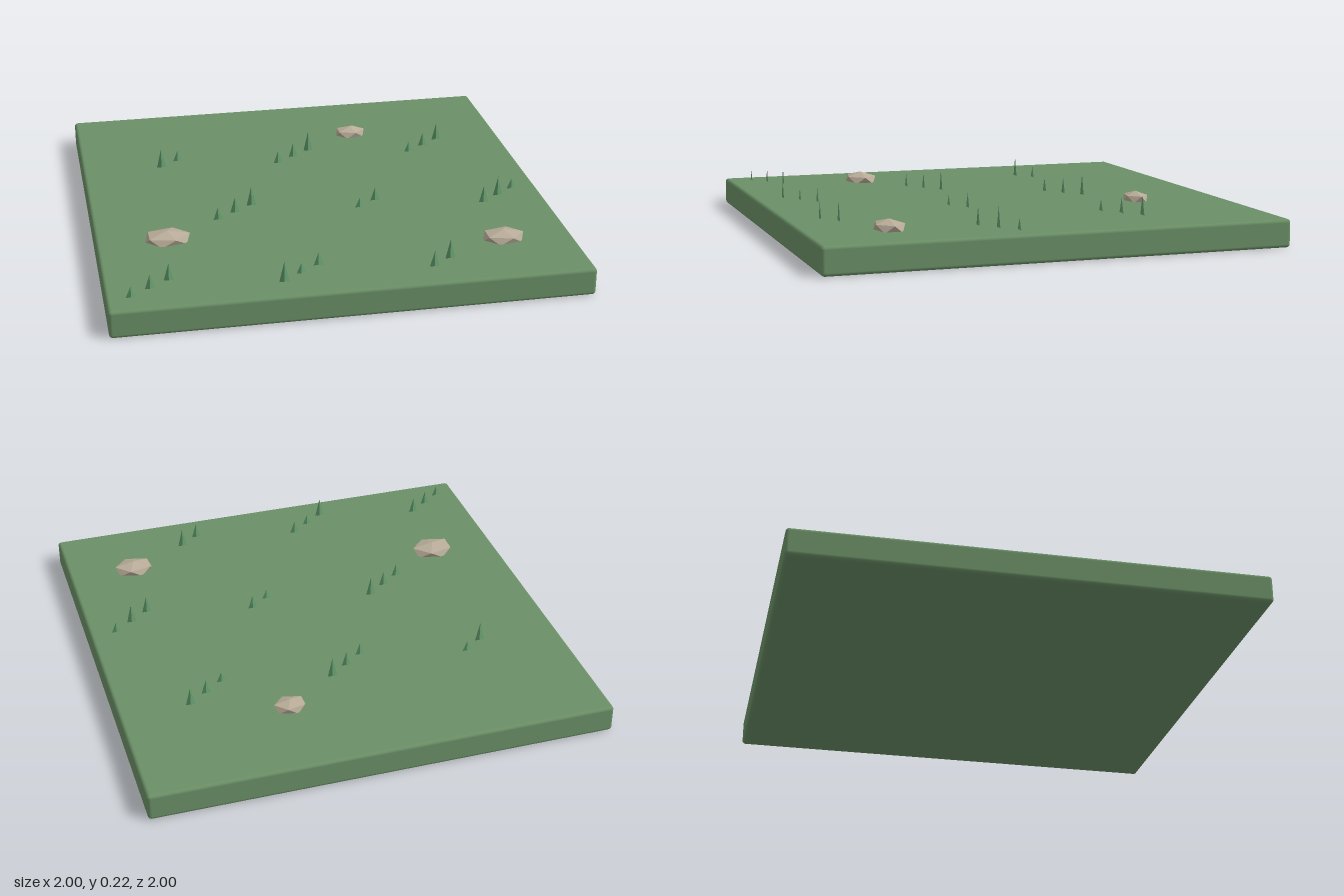
import * as THREE from 'three';
import { RoundedBoxGeometry } from 'three/addons/geometries/RoundedBoxGeometry.js';

const TOP = 0.12; // ground surface height

const groundMat = new THREE.MeshStandardMaterial({ color: 0x6a8f66 });
const grassMat = new THREE.MeshStandardMaterial({ color: 0x5f9468 });
const rockMat = new THREE.MeshStandardMaterial({ color: 0xb8ab98, flatShading: true });

// Paper-thin blade: a four-sided spike flattened in depth, keeping its faceted normals
function bladeGeometry(height) {
  const geo = new THREE.ConeGeometry(0.021, height, 4).toNonIndexed();
  geo.computeVertexNormals();
  geo.translate(0, height / 2, 0);
  const pos = geo.attributes.position;
  for (let i = 0; i < pos.count; i++) pos.setZ(i, pos.getZ(i) * 0.02);
  return geo;
}

// Squashed icosahedron standing on one of its points
function rockGeometry(rx, ry, rz) {
  const geo = new THREE.IcosahedronGeometry(1, 0);
  geo.rotateX(-Math.atan((1 + Math.sqrt(5)) / 2));
  geo.rotateY(Math.PI / 2);
  geo.scale(rx, ry, rz);
  return geo;
}

export function createModel() {
  const model = new THREE.Group();
  model.name = 'groundTile';

  // Ground slab
  const ground = new THREE.Mesh(new RoundedBoxGeometry(2, TOP, 2, 3, 0.015), groundMat);
  ground.name = 'ground';
  ground.position.y = TOP / 2;
  model.add(ground);

  // Rocks: x, z, radii
  const rocks = [
    [-0.7, 0.4, 0.108, 0.035, 0.078],
    [0.7, 0.65, 0.098, 0.034, 0.071],
    [0.3, -0.6, 0.078, 0.032, 0.057],
  ];
  for (const [x, z, rx, ry, rz] of rocks) {
    const rock = new THREE.Mesh(rockGeometry(rx, ry, rz), rockMat);
    rock.name = 'rock';
    rock.position.set(x, TOP + 0.01, z);
    model.add(rock);
  }

  // Grass tufts: x and z of the first blade, then blade heights along a diagonal row
  const tufts = [
    [-0.9, 0.89, [0.05, 0.065, 0.075]],
    [-0.64, -0.37, [0.09, 0.05]],
    [-0.46, 0.24, [0.06, 0.07, 0.09]],
    [-0.28, 0.87, [0.09, 0.05, 0.06]],
    [-0.1, -0.32, [0.06, 0.07, 0.095]],
    [0.17, 0.23, [0.045, 0.065]],
    [0.35, 0.85, [0.07, 0.09]],
    [0.53, -0.34, [0.05, 0.065, 0.085]],
    [0.72, 0.28, [0.08, 0.09, 0.05]],
  ];
  for (const [x, z, heights] of tufts) {
    const tuft = new THREE.Group();
    tuft.name = 'grassTuft';
    tuft.position.set(x, TOP, z);
    heights.forEach((height, i) => {
      const blade = new THREE.Mesh(bladeGeometry(height), grassMat);
      blade.name = 'grassBlade';
      blade.position.set(i * 0.082, 0, i * -0.06);
      tuft.add(blade);
    });
    model.add(tuft);
  }

  return model;
}
